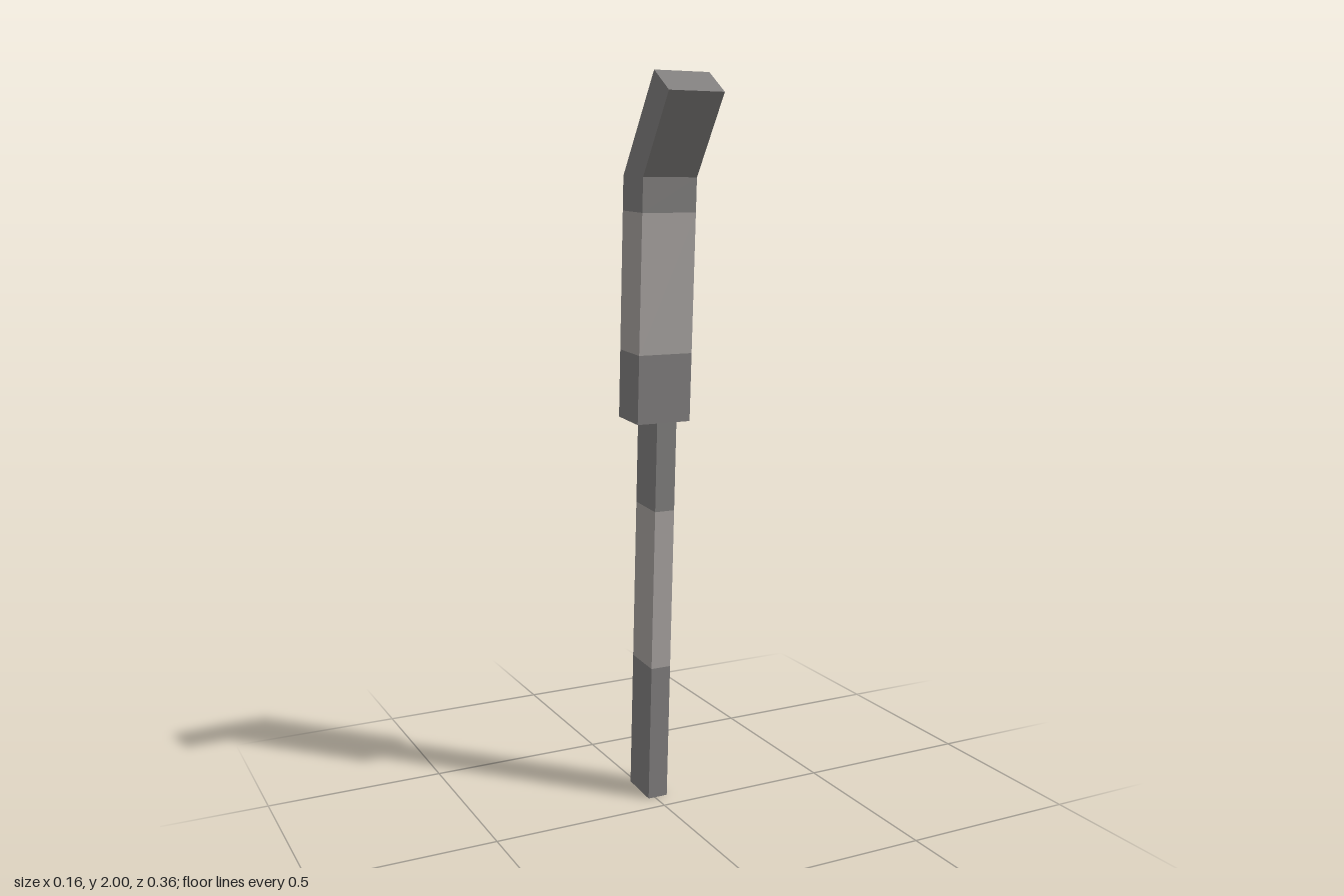
import * as THREE from 'three';

// Square-section bar lofted through rings of [front z, front y, back z, back y], bottom to top.
// materials[i] colours the stretch between ring i and ring i + 1.
function bar(name, rings, x0, x1, materials, topCap) {
  const palette = [...new Set(materials)];
  const positions = [];
  const geometry = new THREE.BufferGeometry();
  const corners = rings.map(([fz, fy, bz, by]) => [
    [x0, fy, fz], [x1, fy, fz], [x1, by, bz], [x0, by, bz],
  ]);
  const quad = (a, b, c, d, material) => {
    geometry.addGroup(positions.length / 3, 6, palette.indexOf(material));
    for (const p of [a, b, c, a, c, d]) positions.push(...p);
  };

  for (let i = 0; i < materials.length; i++) {
    const low = corners[i], high = corners[i + 1];
    for (let k = 0; k < 4; k++) {
      const n = (k + 1) % 4;
      quad(low[k], low[n], high[n], high[k], materials[i]);
    }
  }
  const [a, b, c, d] = corners[0];
  quad(d, c, b, a, materials[0]);
  if (topCap) quad(...corners[corners.length - 1], materials[materials.length - 1]);

  geometry.setAttribute('position', new THREE.Float32BufferAttribute(positions, 3));
  geometry.computeVertexNormals();
  const mesh = new THREE.Mesh(geometry, palette);
  mesh.name = name;
  return mesh;
}

// Ring part of the way between two others
const between = (a, b, t) => a.map((v, i) => THREE.MathUtils.lerp(v, b[i], t));

export function createModel() {
  const darkGrey = new THREE.MeshStandardMaterial({ color: 0x817f7e });
  darkGrey.name = 'darkGrey';
  const lightGrey = new THREE.MeshStandardMaterial({ color: 0xa8a3a1 });
  lightGrey.name = 'lightGrey';

  // Key cross-sections along the leaning, bent shaft
  const foot = [-0.06, 0, -0.18, 0.006];
  const joint = [-0.003, 1.093, -0.12, 1.1];
  const bend = [0.034, 1.74, -0.084, 1.745];
  const tip = [0.179, 1.946, 0.098, 2];

  const group = new THREE.Group();
  group.name = 'bentBar';

  // Narrow lower shaft, slightly off centre, with a light middle band
  group.add(bar('lowerShaft',
    [foot, between(foot, joint, 0.36), between(foot, joint, 0.775), joint],
    -0.02, 0.038, [darkGrey, lightGrey, darkGrey], false));

  // Wide upper shaft with a light band and a head bent forward
  group.add(bar('upperShaftAndHead',
    [joint, between(joint, bend, 0.287), between(joint, bend, 0.86), bend, tip],
    -0.078, 0.078, [darkGrey, lightGrey, darkGrey, darkGrey], true));

  return group;
}
